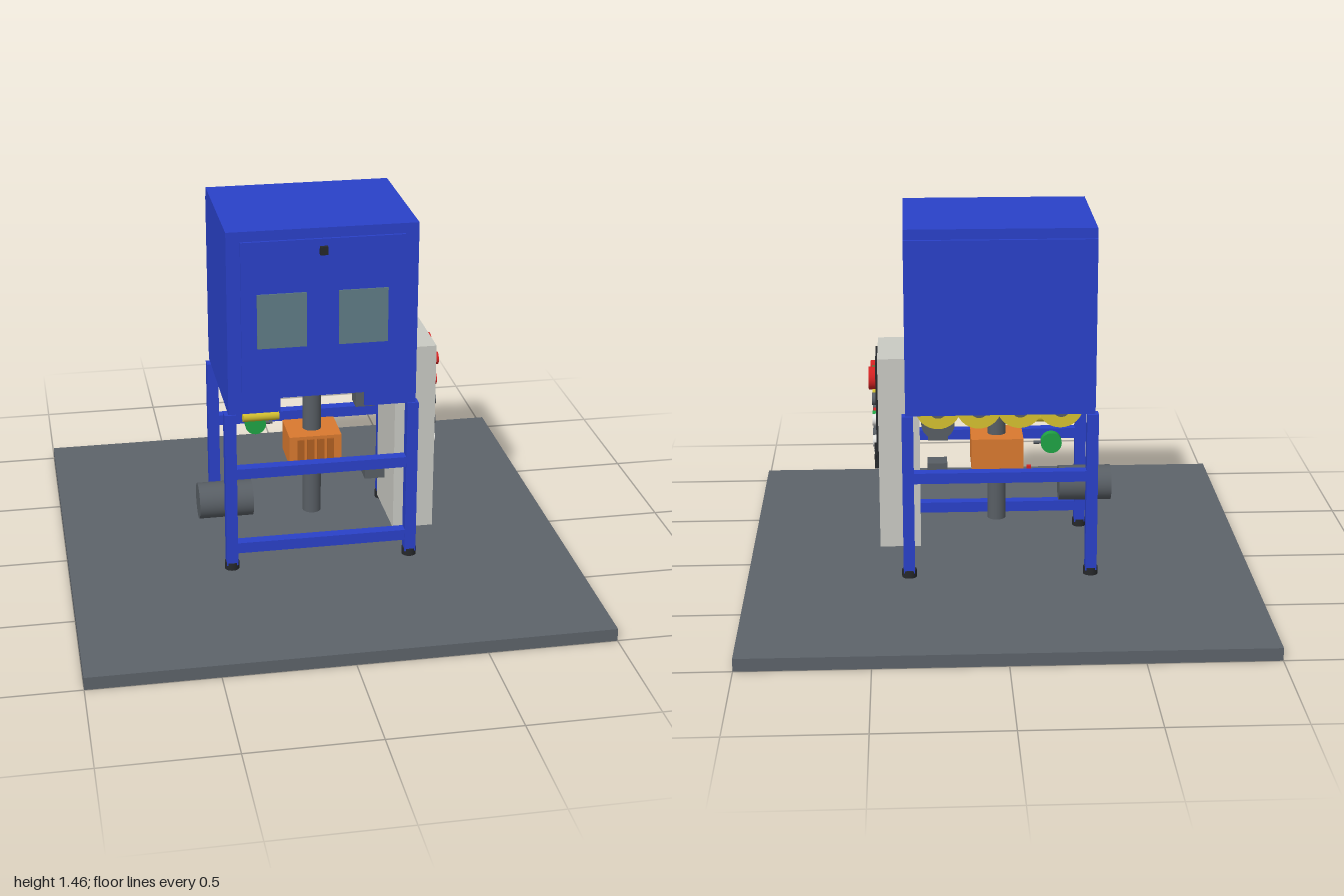
import * as THREE from 'three';

const COL = {
  blue: 0x2a41c8, floor: 0x5d636a, steel: 0x585e64, dark: 0x26282b, yellow: 0xd4c02f,
  orange: 0xd9792f, deepOrange: 0xb05f22, green: 0x1fa344, red: 0xd32222,
  grey: 0xc9cac3, white: 0xe4e4e0, glass: 0x5f7c86,
};
const mats = {};
for (const key in COL) mats[key] = new THREE.MeshStandardMaterial({ color: COL[key] });

export function createModel() {
  const model = new THREE.Group();

  const add = (name, geometry, color, x, y, z, parent = model) => {
    const mesh = new THREE.Mesh(geometry, mats[color]);
    mesh.name = name;
    mesh.position.set(x, y, z);
    parent.add(mesh);
    return mesh;
  };
  // Box given by its limits on each axis
  const box = (name, color, [x0, x1], [y0, y1], [z0, z1], parent) =>
    add(name, new THREE.BoxGeometry(x1 - x0, y1 - y0, z1 - z0), color,
      (x0 + x1) / 2, (y0 + y1) / 2, (z0 + z1) / 2, parent);
  // Cylinder along a chosen axis
  const cyl = (name, color, r, length, axis, x, y, z, parent) => {
    const g = new THREE.CylinderGeometry(r, r, length, 32);
    if (axis === 'x') g.rotateZ(-Math.PI / 2);
    if (axis === 'z') g.rotateX(Math.PI / 2);
    return add(name, g, color, x, y, z, parent);
  };
  const group = (name) => {
    const g = new THREE.Group();
    g.name = name;
    model.add(g);
    return g;
  };

  box('floorSlab', 'floor', [-1, 1], [0, 0.05], [-1, 1]);

  // Frame: four legs with feet, two front rails, one back rail
  const frame = group('frame');
  for (const sx of [-1, 1]) for (const sz of [-1, 1]) {
    add('leg', new THREE.BoxGeometry(0.045, 0.65, 0.047), 'blue', sx * 0.36, 0.395, sz * 0.265, frame);
    cyl('foot', 'dark', 0.029, 0.03, 'y', sx * 0.36, 0.065, sz * 0.265, frame);
  }
  box('frontMiddleRail', 'blue', [-0.34, 0.34], [0.445, 0.488], [0.243, 0.287], frame);
  box('frontLowerRail', 'blue', [-0.34, 0.34], [0.122, 0.166], [0.243, 0.287], frame);
  box('backMiddleRail', 'blue', [-0.34, 0.34], [0.445, 0.488], [-0.287, -0.243], frame);

  // Hood: open below, with a notch in the lower edge of the front wall
  const hood = group('hood');
  const bottom = 0.725, top = 1.46, t = 0.015;
  box('hoodTop', 'blue', [-0.368, 0.368], [top - t, top], [-0.29, 0.293], hood);
  for (const s of [-1, 1])
    add('hoodSide', new THREE.BoxGeometry(t, top - t - bottom, 0.583), 'blue',
      s * (0.368 - t / 2), (top - t + bottom) / 2, 0.0015, hood);
  box('hoodBack', 'blue', [-0.353, 0.353], [bottom, top - t], [-0.29, -0.275], hood);
  const front = new THREE.Shape([
    [-0.353, bottom], [-0.165, bottom], [-0.165, 0.788], [0.165, 0.788],
    [0.165, bottom], [0.353, bottom], [0.353, top - t], [-0.353, top - t],
  ].map(([x, y]) => new THREE.Vector2(x, y)));
  add('hoodFront', new THREE.ExtrudeGeometry(front, { depth: t, bevelEnabled: false }), 'blue', 0, 0, 0.278, hood);
  box('backPanel', 'blue', [-0.368, 0.368], [0.755, 1.42], [-0.305, -0.29], hood);

  // Door with two windows and a latch
  box('door', 'blue', [-0.315, 0.315], [0.787, 1.42], [0.293, 0.304], hood);
  for (const x of [-0.16, 0.155])
    box('window', 'glass', [x - 0.095, x + 0.095], [0.995, 1.213], [0.3, 0.309], hood);
  box('doorLatch', 'dark', [-0.015, 0.015], [1.36, 1.392], [0.304, 0.32], hood);

  // Row of gears across the back of the hood
  const gears = group('gearTrain');
  for (const x of [-0.24, -0.08, 0.08, 0.24]) {
    cyl('gear', 'yellow', 0.09, 0.016, 'z', x, 0.732, -0.195, gears);
    cyl('gearPin', 'steel', 0.014, 0.02, 'z', x, 0.732, -0.182, gears);
    cyl('gearHub', 'steel', 0.034, 0.04, 'z', x, 0.732, -0.222, gears);
  }

  // Spindle column and its slotted gear block
  cyl('spindle', 'steel', 0.037, 0.8, 'y', 0, 0.575, 0.05);
  const block = group('gearBlock');
  box('blockBody', 'orange', [-0.105, 0.105], [0.415, 0.54], [-0.04, 0.14], block);
  for (let i = 0; i < 4; i++) {
    const x = -0.06 + i * 0.04;
    box('blockFin', 'deepOrange', [x - 0.014, x + 0.014], [0.43, 0.528], [0.135, 0.147], block);
  }
  box('blockIndicator', 'green', [-0.012, 0.012], [0.398, 0.415], [0.09, 0.11], block);

  // Side motor
  cyl('sideMotor', 'steel', 0.072, 0.215, 'x', -0.367, 0.29, 0.13);

  // Air cylinder and valve wheel
  cyl('airCylinder', 'yellow', 0.022, 0.145, 'x', -0.207, 0.607, 0.05);
  cyl('valveWheel', 'green', 0.042, 0.035, 'z', -0.215, 0.53, -0.05);
  cyl('valveStem', 'steel', 0.007, 0.03, 'x', -0.16, 0.53, -0.05);
  box('limitSwitch', 'red', [-0.144, -0.126], [0.363, 0.378], [0.09, 0.108]);

  // Pulley with mount box, and the lower junction box
  cyl('pulleyRim', 'steel', 0.066, 0.025, 'z', 0.24, 0.65, -0.148);
  cyl('pulleyCore', 'dark', 0.05, 0.008, 'z', 0.24, 0.65, -0.133);
  cyl('pulleyShaft', 'steel', 0.02, 0.04, 'z', 0.24, 0.69, -0.175);
  box('pulleyMount', 'steel', [0.2, 0.28], [0.57, 0.635], [-0.13, -0.05]);
  box('junctionBox', 'steel', [0.2, 0.28], [0.34, 0.403], [0.07, 0.15]);

  // Control cabinet with panel and buttons on its outer side
  const controls = group('controlCabinet');
  box('cabinetBody', 'grey', [0.312, 0.475], [0.125, 0.91], [-0.135, 0.18], controls);
  box('controlPanel', 'dark', [0.475, 0.484], [0.445, 0.885], [-0.095, 0.14], controls);
  const buttons = [ // color, z, y, radius, depth
    ['red', 0.082, 0.818, 0.025, 0.02], ['green', 0.002, 0.818, 0.025, 0.014],
    ['red', -0.08, 0.818, 0.045, 0.026], ['red', 0.082, 0.732, 0.025, 0.014],
    ['yellow', 0.002, 0.732, 0.025, 0.014], ['steel', -0.08, 0.732, 0.025, 0.014],
    ['steel', 0.082, 0.645, 0.023, 0.014], ['red', 0.014, 0.645, 0.019, 0.012],
    ['green', -0.025, 0.645, 0.019, 0.014], ['white', -0.08, 0.645, 0.023, 0.014],
    ['steel', 0.082, 0.557, 0.023, 0.014], ['steel', 0.002, 0.557, 0.023, 0.014],
    ['white', -0.08, 0.557, 0.023, 0.014], ['white', 0.082, 0.477, 0.022, 0.014],
  ];
  for (const [color, z, y, r, d] of buttons)
    cyl('button', color, r, d, 'x', 0.484 + d / 2, y, z, controls);
  for (const [z, y] of [[0, 0.49], [-0.075, 0.49], [-0.075, 0.543], [0, 0.466 - 0.005], [-0.075, 0.461]])
    box('panelSocket', 'dark', [0.484, 0.492], [y - 0.013, y + 0.013], [z - 0.033, z + 0.033], controls);
  cyl('cabinetLock', 'white', 0.011, 0.02, 'x', 0.485, 0.43, 0.082, controls);

  return model;
}
